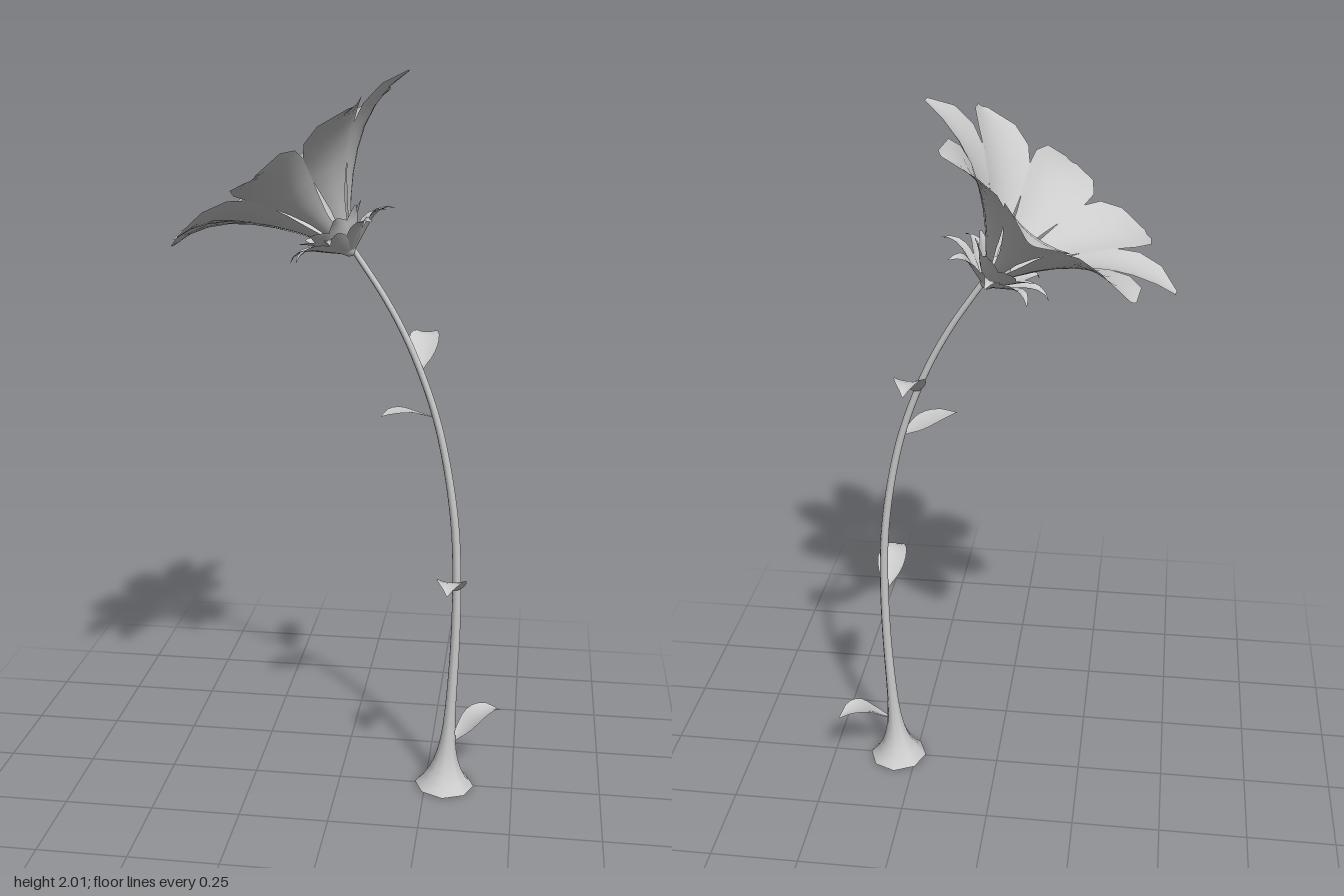
import * as THREE from 'three';
import { mergeVertices } from 'three/addons/utils/BufferGeometryUtils.js';

const material = new THREE.MeshStandardMaterial({ color: 0xcccccc, side: THREE.DoubleSide });

// Thin curved blade growing along +x: profile [distance, height], evenly spaced half widths, edge lift
function bladeGeometry(profile, halfWidths, cup, nu = 8, nv = 6) {
  const path = new THREE.SplineCurve(profile.map(p => new THREE.Vector2(...p)));
  const width = new THREE.SplineCurve(halfWidths.map((w, i) => new THREE.Vector2(i, w)));
  const geometry = new THREE.PlaneGeometry(1, 1, nu, nv);
  const pos = geometry.attributes.position;
  for (let i = 0; i < pos.count; i++) {
    const t = pos.getX(i) + 0.5, s = -pos.getY(i) * 2;
    const p = path.getPointAt(t), d = path.getTangentAt(t);
    const w = width.getPoint(t).y;
    const lift = cup * s * s * w;
    pos.setXYZ(i, p.x - d.y * lift, p.y + d.x * lift, s * w);
  }
  geometry.computeVertexNormals();
  return geometry;
}

// Ring of identical blades around the local y axis
function ring(name, geometry, count, offset) {
  const group = new THREE.Group();
  group.name = name + 's';
  for (let i = 0; i < count; i++) {
    const mesh = new THREE.Mesh(geometry, material);
    mesh.name = name;
    mesh.rotation.y = (i / count) * Math.PI * 2 + offset;
    group.add(mesh);
  }
  return group;
}

function createStem() {
  const points = [[0.305, 0], [0.307, 0.05], [0.316, 0.2], [0.327, 0.45], [0.327, 0.65], [0.318, 0.8],
    [0.29, 0.98], [0.255, 1.12], [0.19, 1.29], [0.124, 1.415], [0.034, 1.55]];
  const curve = new THREE.CatmullRomCurve3(points.map(([x, y]) => new THREE.Vector3(x, y, 0)));
  const rows = 60, sides = 8;
  const tube = new THREE.TubeGeometry(curve, rows, 1, sides, false);
  const pos = tube.attributes.position, v = new THREE.Vector3();
  // Taper upward, open flare at the foot
  for (let i = 0; i < pos.count; i++) {
    const c = curve.getPointAt(Math.floor(i / (sides + 1)) / rows);
    const r = 0.015 - 0.0045 * c.y + 0.07 * Math.exp(-c.y / 0.065);
    v.fromBufferAttribute(pos, i).sub(c).multiplyScalar(r).add(c);
    pos.setXYZ(i, v.x, Math.max(0, v.y), v.z);
  }
  // Weld the seam so the shading runs smoothly round
  tube.deleteAttribute('uv');
  tube.deleteAttribute('normal');
  const geometry = mergeVertices(tube, 1e-5);
  geometry.computeVertexNormals();
  const stem = new THREE.Mesh(geometry, material);
  stem.name = 'stem';
  return stem;
}

function createFlower() {
  const flower = new THREE.Group();
  flower.name = 'flower';
  const petal = bladeGeometry(
    [[0.015, 0.01], [0.07, 0.09], [0.14, 0.17], [0.22, 0.235], [0.31, 0.272], [0.392, 0.278]],
    [0.01, 0.016, 0.027, 0.046, 0.068, 0.089, 0.096, 0.077, 0.016], 0.2);
  const longSepal = bladeGeometry(
    [[0.01, -0.01], [0.05, 0.015], [0.1, 0.046], [0.135, 0.052], [0.16, 0.04]],
    [0.008, 0.022, 0.028, 0.018, 0.001], 0.3, 8, 4);
  const shortSepal = bladeGeometry(
    [[0.012, 0], [0.045, 0.03], [0.075, 0.065], [0.1, 0.085]],
    [0.01, 0.022, 0.03, 0.026, 0.006], 0.2, 8, 4);
  const outerSepals = ring('outerSepal', longSepal, 8, -0.05);
  outerSepals.rotation.z = -0.12;
  flower.add(
    ring('petal', petal, 8, -0.05),
    outerSepals,
    ring('innerSepal', shortSepal, 8, Math.PI / 8 - 0.05));

  const heart = new THREE.Mesh(new THREE.SphereGeometry(0.037, 20, 14), material);
  heart.name = 'flowerHeart';
  heart.position.y = 0.04;
  // Small cup joining stem and petals
  const cup = new THREE.Mesh(new THREE.LatheGeometry(
    [[0, -0.02], [0.012, -0.015], [0.026, 0.005], [0.034, 0.035]].map(p => new THREE.Vector2(...p)), 12), material);
  cup.name = 'flowerCup';
  flower.add(heart, cup);

  flower.position.set(0.024, 1.548, 0);
  flower.rotation.z = 0.625;
  return flower;
}

function createLeaves() {
  const leaves = new THREE.Group();
  leaves.name = 'leaves';
  const geometry = bladeGeometry(
    [[0, 0], [0.04, 0.028], [0.085, 0.063], [0.13, 0.072], [0.168, 0.055]],
    [0.006, 0.03, 0.041, 0.031, 0.002], 0.18, 10, 6);
  // Foot x, foot y, direction x, direction z, height scale
  const places = [
    [0.325, 0.137, 0.135, -0.1, 1.05],
    [0.322, 0.6, -0.01, 0.165, 0.95],
    [0.257, 1.1, -0.135, 0.105, 0.45],
    [0.217, 1.228, 0.005, -0.165, 1.1],
  ];
  for (const [x, y, dx, dz, h] of places) {
    const leaf = new THREE.Mesh(geometry, material);
    leaf.name = 'leaf';
    leaf.position.set(x, y, 0);
    leaf.rotation.y = Math.atan2(-dz, dx);
    leaf.scale.y = h;
    leaves.add(leaf);
  }
  return leaves;
}

export function createModel() {
  const model = new THREE.Group();
  model.name = 'flowerOnStem';
  model.add(createStem(), createLeaves(), createFlower());
  return model;
}
